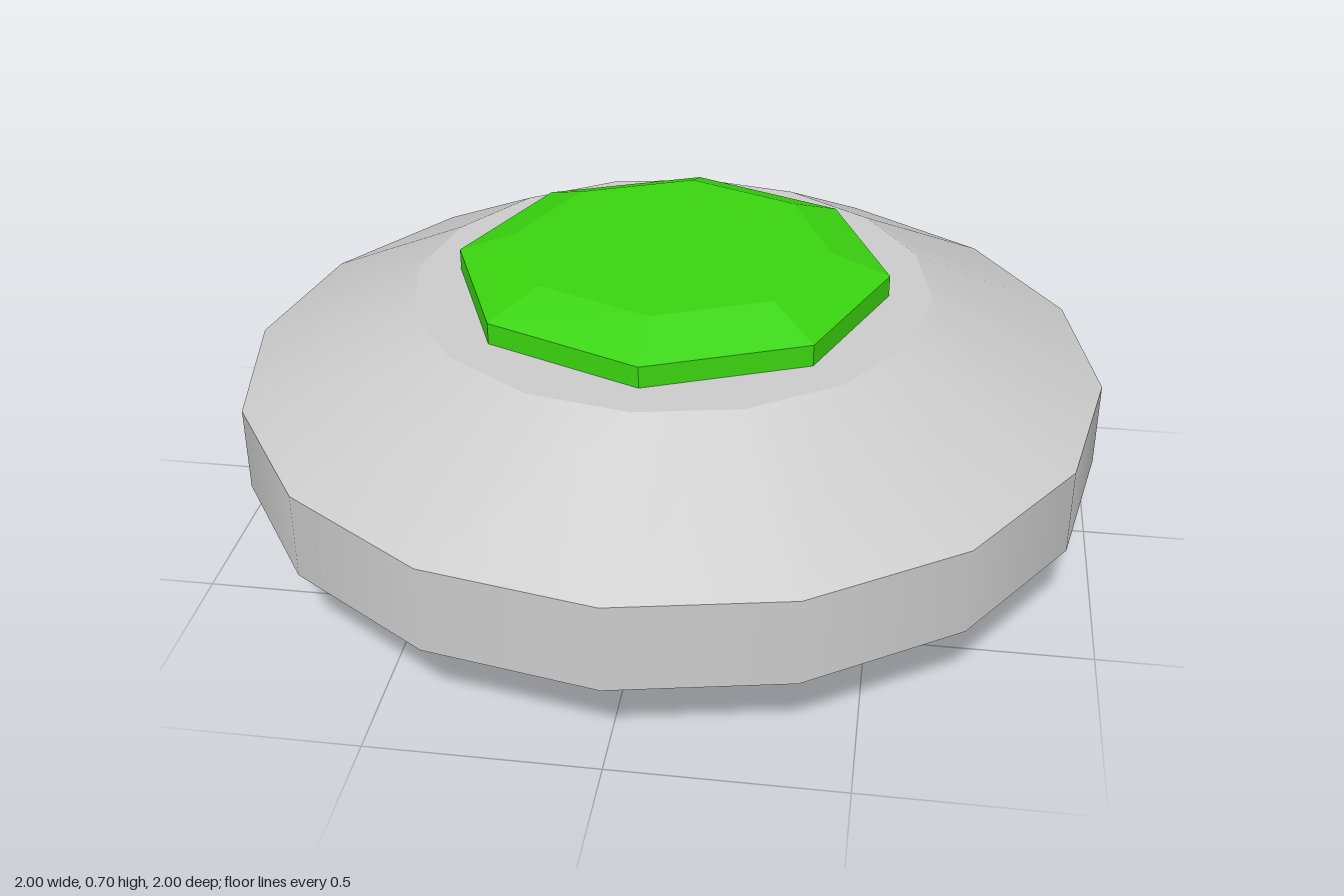
import * as THREE from 'three';

// Stacks ring-shaped tiers from a [radius, y] profile, closing both ends with flat caps.
function addTiers(group, profile, sides, material, names) {
  for (let i = 0; i < profile.length - 1; i++) {
    const [r0, y0] = profile[i];
    const [r1, y1] = profile[i + 1];
    const tier = new THREE.Mesh(
      new THREE.CylinderGeometry(r1, r0, y1 - y0, sides, 1, true), material);
    tier.position.y = (y0 + y1) / 2;
    tier.name = names[i];
    group.add(tier);
  }
  const ends = [[profile[0], 1, 'bottomFace'], [profile[profile.length - 1], -1, 'topFace']];
  for (const [[r, y], dir, name] of ends) {
    const cap = new THREE.Mesh(new THREE.CircleGeometry(r, sides), material);
    cap.rotation.x = dir * Math.PI / 2;
    cap.position.y = y;
    cap.name = name;
    group.add(cap);
  }
}

export function createModel() {
  const model = new THREE.Group();
  model.name = 'gemButton';

  // Sixteen-sided disc, smooth around with sharp edges between tiers
  const body = new THREE.Group();
  body.name = 'body';
  addTiers(body, [[0.6, 0], [1, 0.2], [1, 0.4], [0.6, 0.6]], 16,
    new THREE.MeshStandardMaterial({ color: 0xcccccc }),
    ['lowerBevel', 'rim', 'upperBevel']);

  // Eight-sided faceted gem on top
  const gem = new THREE.Group();
  gem.name = 'gem';
  addTiers(gem, [[0.5, 0.6], [0.5, 0.65], [0.365, 0.7]], 8,
    new THREE.MeshStandardMaterial({ color: 0x3ad40f, flatShading: true }),
    ['girdle', 'crown']);

  model.add(body, gem);
  return model;
}
